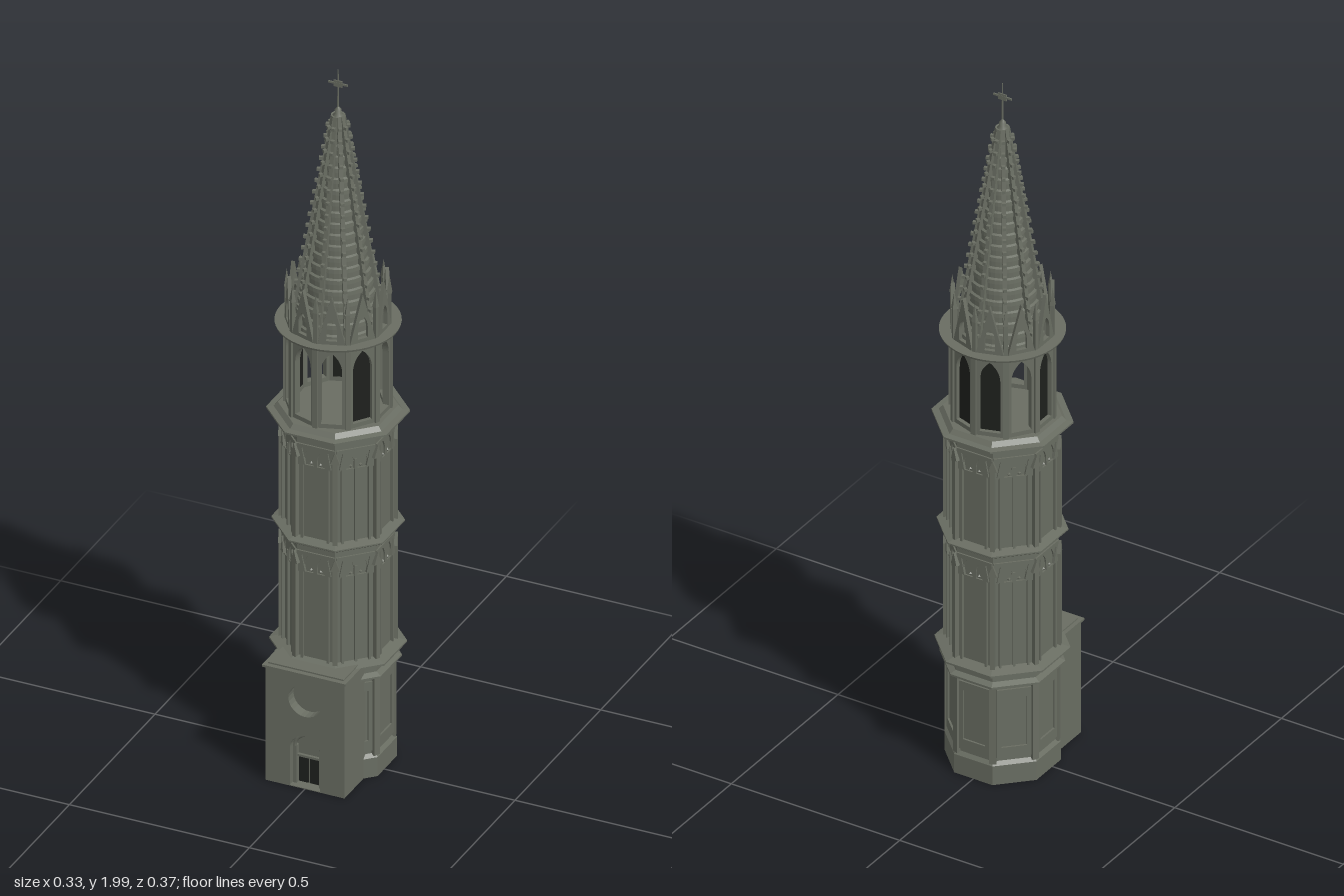
import * as THREE from 'three';

const stone = new THREE.MeshStandardMaterial({ color: 0x696d62 });
stone.name = 'stone';
const shade = new THREE.MeshStandardMaterial({ color: 0x1e201d });
shade.name = 'dark opening';

// Flat facets without changing the material
function flat(geo) {
  const g = geo.index ? geo.toNonIndexed() : geo;
  g.computeVertexNormals();
  return g;
}

function add(parent, name, geo, mat = stone, x = 0, y = 0, z = 0) {
  const m = new THREE.Mesh(geo, mat);
  m.name = name;
  m.position.set(x, y, z);
  parent.add(m);
  return m;
}

function box(parent, name, w, h, d, x, y0, z, mat = stone) {
  return add(parent, name, new THREE.BoxGeometry(w, h, d), mat, x, y0 + h / 2, z);
}

// Octagonal solid from [apothem, y] points, one face to the front
function octagon(parent, name, pts) {
  const k = 1 / Math.cos(Math.PI / 8);
  const profile = pts.map(([r, y]) => new THREE.Vector2(r * k, y));
  return add(parent, name, flat(new THREE.LatheGeometry(profile, 8, Math.PI / 8)));
}

// Repeats a part around the axis; local +z points outward
function around(parent, name, n, start, build) {
  for (let i = 0; i < n; i++) {
    const g = new THREE.Group();
    g.name = name;
    g.rotation.y = start + (i * 2 * Math.PI) / n;
    build(g, i);
    parent.add(g);
  }
}

// Pointed arch outline, drawn on a Shape or a Path
function lancet(target, x, w, y0, spring, top) {
  target.moveTo(x - w, y0);
  target.lineTo(x + w, y0);
  target.lineTo(x + w, spring);
  target.quadraticCurveTo(x + w, (spring + top) / 2 + 0.006, x, top);
  target.quadraticCurveTo(x - w, (spring + top) / 2 + 0.006, x - w, spring);
  target.closePath();
  return target;
}

function polygon(...pts) {
  return new THREE.Shape(pts.map(([x, y]) => new THREE.Vector2(x, y)));
}
const rect = (w, y0, y1) => polygon([-w, y0], [w, y0], [w, y1], [-w, y1]);
const gable = (w, y0, y1) => polygon([-w, y0], [w, y0], [0, y1]);

const slab = (shape, depth) =>
  new THREE.ExtrudeGeometry(shape, { depth, bevelEnabled: false, curveSegments: 12 });

// Octagonal base with plinth, framed panels and cornices
function buildBase(t) {
  octagon(t, 'base', [[0, 0], [0.137, 0], [0.137, 0.055], [0.129, 0.065], [0.129, 0.285],
    [0.148, 0.29], [0.148, 0.295], [0.133, 0.302], [0.133, 0.32], [0.16, 0.331],
    [0.16, 0.336], [0.13, 0.345], [0, 0.345]]);
  around(t, 'basePanel', 8, 0, (g, i) => {
    if (i === 0) return;
    const frame = rect(0.044, 0.075, 0.275);
    frame.holes.push(rect(0.033, 0.105, 0.25));
    add(g, 'panelFrame', slab(frame, 0.005), stone, 0, 0, 0.129);
  });
  around(t, 'basePilaster', 8, Math.PI / 8, (g) => {
    box(g, 'pilaster', 0.018, 0.23, 0.012, 0, 0.06, 0.14);
  });
}

// Shaft storey: corner clusters, gablets and blind arches
function buildStorey(t, y0, y1, wallTop) {
  octagon(t, 'shaftWall', [[0.129, y0], [0.129, wallTop]]);
  around(t, 'cornerCluster', 8, Math.PI / 8, (g) => {
    box(g, 'cornerShaft', 0.012, y1 - y0 - 0.03, 0.02, 0, y0, 0.14);
    add(g, 'cornerGablet', slab(gable(0.012, y1 - 0.035, y1), 0.02), stone, 0, 0, 0.13);
  });
  around(t, 'shaftFace', 8, 0, (g, i) => {
    for (const s of [-1, 1]) {
      box(g, 'sideRib', 0.006, y1 - y0 - 0.05, 0.01, s * 0.036, y0, 0.132);
      add(g, 'sideGablet', slab(gable(0.009, y1 - 0.055, y1 - 0.01), 0.008), stone, s * 0.036, 0, 0.129);
      add(g, 'boss', new THREE.OctahedronGeometry(0.005), stone, s * 0.013, y1 - 0.05, 0.13);
    }
    if (i % 2) box(g, 'middleRib', 0.006, y1 - y0 - 0.03, 0.008, 0, y0, 0.132);
    const tracery = rect(0.052, y1 - 0.06, y1);
    for (const s of [-1, 1]) {
      tracery.holes.push(lancet(new THREE.Path(), s * 0.018, 0.013, y1 - 0.057, y1 - 0.045, y1 - 0.008));
    }
    add(g, 'blindArches', slab(tracery, 0.004), stone, 0, 0, 0.129);
  });
}

// Ten-sided belfry with pointed openings
function buildBelfry(t) {
  const a = 0.128, half = a * Math.tan(Math.PI / 10);
  const closed = [1, 4, 5, 7, 8];
  around(t, 'belfryBay', 10, Math.PI / 10, (g, i) => {
    const wall = rect(half, 1.0, 1.255);
    wall.holes.push(lancet(new THREE.Path(), 0, 0.027, 1.03, 1.18, 1.235));
    add(g, 'archedWall', slab(wall, 0.018), stone, 0, 0, a - 0.018);
    if (closed.includes(i)) {
      add(g, 'shutter', slab(lancet(new THREE.Shape(), 0, 0.028, 1.028, 1.18, 1.236), 0.006), shade, 0, 0, a - 0.017);
    }
    // upright crowning gable with a pierced light
    const crown = gable(0.036, 1.262, 1.4);
    crown.holes.push(lancet(new THREE.Path(), 0, 0.014, 1.272, 1.3, 1.335));
    add(g, 'crownGable', slab(crown, 0.01), stone, 0, 0, 0.12);
  });
  around(t, 'belfryCorner', 10, 0, (g) => {
    box(g, 'cornerRib', 0.014, 0.25, 0.012, 0, 1.005, 0.132);
    box(g, 'pinnacle', 0.01, 0.09, 0.01, 0, 1.262, 0.13);
    const tip = add(g, 'pinnacleTip', flat(new THREE.ConeGeometry(0.009, 0.05, 4)), stone, 0, 1.375, 0.13);
    tip.rotation.y = Math.PI / 4;
  });
  add(t, 'roundCornice', new THREE.CylinderGeometry(0.16, 0.158, 0.006, 48), stone, 0, 1.259, 0);
}

// Coursed round spire with crocketed ribs, finial and cross
function buildSpire(t) {
  const y0 = 1.262, y1 = 1.855, courses = 20;
  const radius = (y) => 0.112 + ((0.01 - 0.112) * (y - y0)) / (y1 - y0);
  const pts = [];
  for (let i = 0; i < courses; i++) {
    const lo = y0 + ((y1 - y0) * i) / courses, hi = y0 + ((y1 - y0) * (i + 1)) / courses;
    pts.push([radius(lo), lo], [radius(lo) - 0.001, lo + 0.011], [radius(hi) - 0.002, lo + 0.014], [radius(hi) - 0.002, hi]);
  }
  add(t, 'spire', flat(new THREE.LatheGeometry(pts.map((p) => new THREE.Vector2(...p)), 40)));
  const lean = Math.atan2(0.102, y1 - y0), length = Math.hypot(0.102, y1 - y0);
  around(t, 'spireRib', 10, 0, (g) => {
    const rib = add(g, 'rib', new THREE.BoxGeometry(0.011, length, 0.012), stone, 0, (y0 + y1) / 2, 0.063);
    rib.rotation.x = -lean;
    for (let k = 1; k < 18; k++) {
      const y = y0 + ((y1 - y0) * k) / 18;
      box(g, 'crocket', 0.009, 0.008, 0.013, 0, y, radius(y) + 0.009);
    }
  });
  const knob = [[0.01, 1.835], [0.016, 1.845], [0.016, 1.853], [0.008, 1.861], [0.009, 1.87], [0, 1.882]];
  add(t, 'finial', new THREE.LatheGeometry(knob.map((p) => new THREE.Vector2(...p)), 16));
  add(t, 'rod', new THREE.CylinderGeometry(0.0015, 0.0025, 0.115, 6), stone, 0, 1.928, 0);
  box(t, 'crossArm', 0.054, 0.005, 0.004, 0, 1.943, 0);
  box(t, 'crossHub', 0.024, 0.018, 0.003, 0, 1.936, 0);
}

// Square porch with arched door and round recess
function buildPorch(root) {
  const p = new THREE.Group();
  p.name = 'porch';
  root.add(p);
  box(p, 'porchBody', 0.22, 0.33, 0.15, 0, 0, 0.071);
  const face = rect(0.11, 0, 0.33);
  const door = new THREE.Path();
  door.moveTo(-0.042, 0.002);
  door.lineTo(0.042, 0.002);
  door.lineTo(0.042, 0.11);
  door.absarc(0, 0.11, 0.042, 0, Math.PI, false);
  door.closePath();
  const rose = new THREE.Path();
  rose.absarc(0, 0.255, 0.046, 0, Math.PI * 2, false);
  face.holes.push(door, rose);
  add(p, 'porchFront', slab(face, 0.03), stone, 0, 0, 0.146);
  box(p, 'porchCap', 0.232, 0.006, 0.183, 0, 0.33, 0.0915);
  box(p, 'porchRoof', 0.21, 0.004, 0.17, 0, 0.336, 0.085);
  add(p, 'doorArch', new THREE.TorusGeometry(0.036, 0.005, 6, 20, Math.PI), stone, 0, 0.11, 0.158);
  for (const s of [-1, 1]) {
    box(p, 'doorJamb', 0.01, 0.11, 0.014, s * 0.036, 0, 0.153);
    box(p, 'doorLeaf', 0.026, 0.07, 0.004, s * 0.0155, 0.004, 0.148, shade);
  }
  box(p, 'doorLintel', 0.066, 0.006, 0.008, 0, 0.077, 0.15);
}

export function createModel() {
  const root = new THREE.Group();
  root.name = 'gothicTower';
  const tower = new THREE.Group();
  tower.name = 'tower';
  tower.position.z = -0.018;
  root.add(tower);
  buildBase(tower);
  buildStorey(tower, 0.34, 0.65, 0.68);
  octagon(tower, 'middleCornice', [[0.129, 0.668], [0.15, 0.678], [0.155, 0.682], [0.155, 0.686], [0.129, 0.693]]);
  buildStorey(tower, 0.69, 0.96, 1.0);
  octagon(tower, 'galleryCornice', [[0.129, 0.978], [0.148, 0.988], [0.152, 0.997], [0.167, 0.999],
    [0.167, 1.004], [0.15, 1.006], [0.14, 1.018], [0, 1.018]]);
  buildBelfry(tower);
  buildSpire(tower);
  buildPorch(root);
  return root;
}
